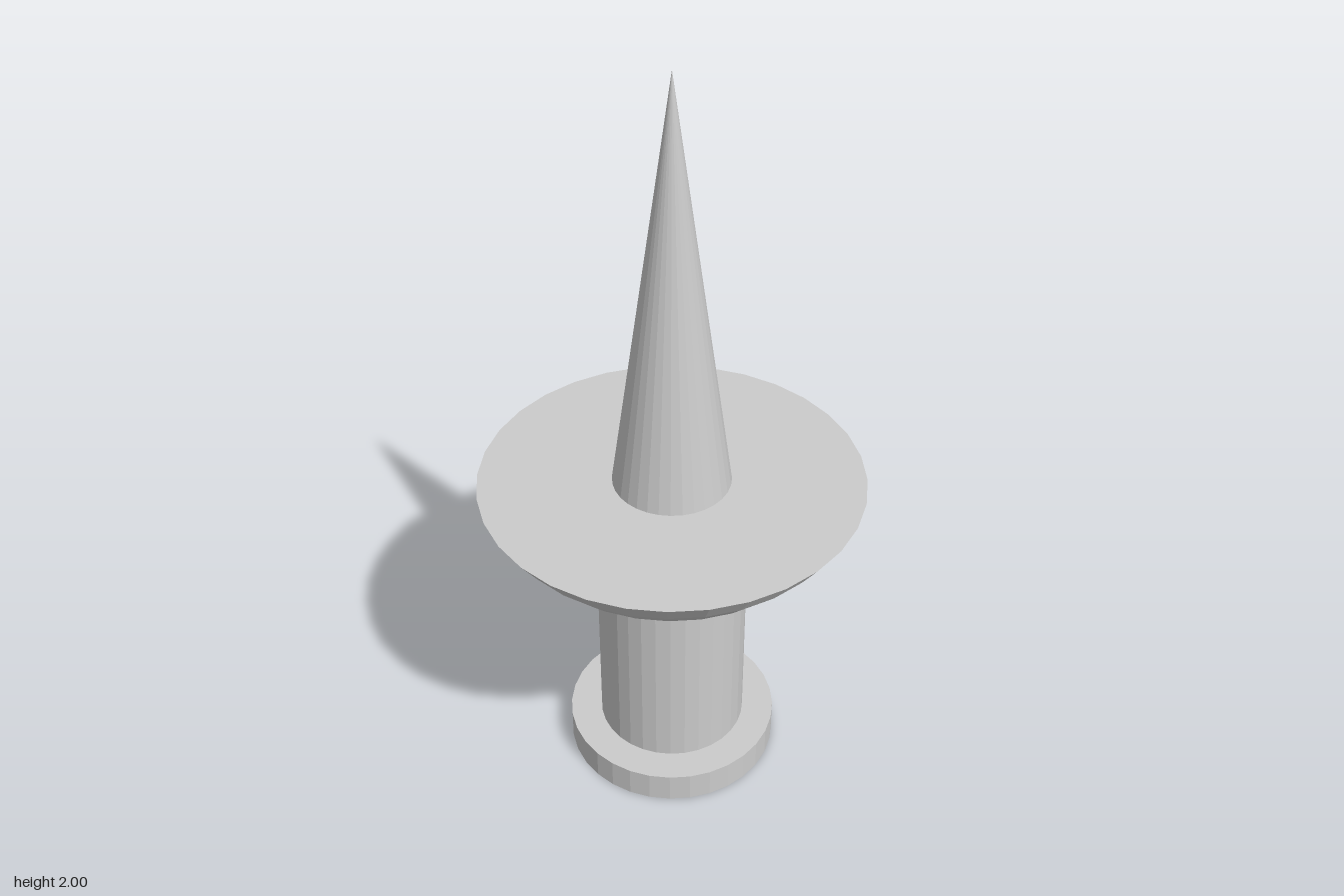
import * as THREE from 'three';

const SIDES = 32;

export function createModel() {
  const group = new THREE.Group();
  const material = new THREE.MeshStandardMaterial({ color: 0xcccccc, flatShading: true });

  const add = (name, geometry, y = 0) => {
    const mesh = new THREE.Mesh(geometry, material);
    mesh.name = name;
    mesh.position.y = y;
    group.add(mesh);
  };
  const cylinder = (name, rTop, rBottom, y0, y1) =>
    add(name, new THREE.CylinderGeometry(rTop, rBottom, y1 - y0, SIDES), (y0 + y1) / 2);

  // Foot, grip and pointed spike
  cylinder('base', 0.283, 0.283, 0, 0.085);
  cylinder('grip', 0.198, 0.198, 0.085, 0.65);
  add('spike', new THREE.ConeGeometry(0.152, 1.105, SIDES), 0.895 + 1.105 / 2);

  // Flared collar: a slice of a sphere, closed flat above and below
  const y0 = 0.65, y1 = 0.895, r0 = 0.198, r1 = 0.494;
  const centre = (r1 * r1 + y1 * y1 - r0 * r0 - y0 * y0) / (2 * (y1 - y0));
  const radius = Math.hypot(r1, centre - y1);
  const a0 = Math.asin(r0 / radius), a1 = Math.asin(r1 / radius);
  const profile = [new THREE.Vector2(0, y0)];
  const rings = 5;
  for (let i = 0; i <= rings; i++) {
    const a = a0 + (a1 - a0) * i / rings;
    profile.push(new THREE.Vector2(radius * Math.sin(a), centre - radius * Math.cos(a)));
  }
  profile.push(new THREE.Vector2(0, y1));
  add('collar', new THREE.LatheGeometry(profile, SIDES));

  return group;
}
